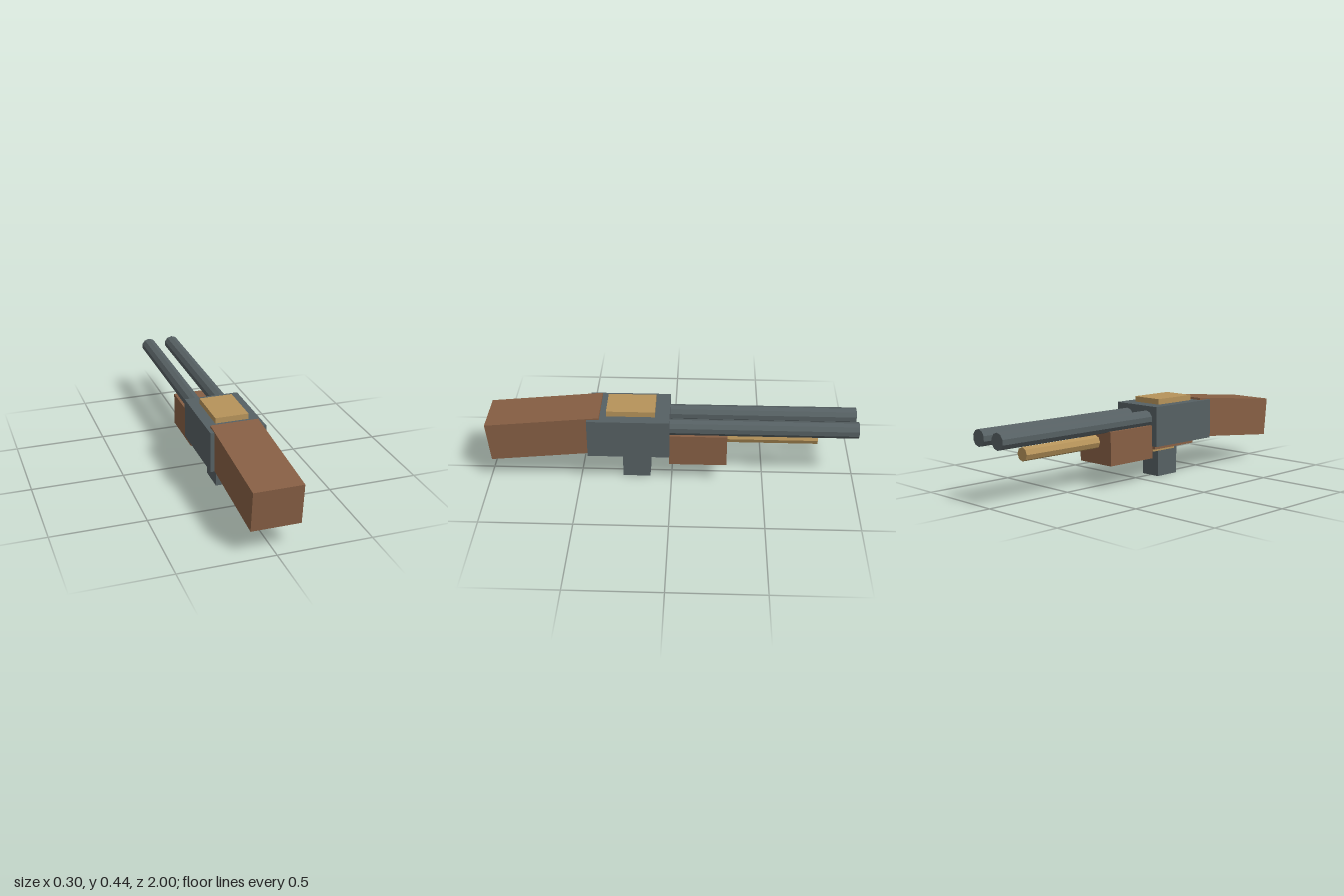
import * as THREE from 'three';

export function createModel() {
  const group = new THREE.Group();
  const paint = (name, hex) => {
    const m = new THREE.MeshStandardMaterial({ color: hex });
    m.name = name;
    return m;
  };
  const wood = paint('brown wood', 0x875f44);
  const steel = paint('grey steel', 0x566063);
  const brass = paint('brass', 0xb6935a);

  const add = (name, geometry, material) => {
    const mesh = new THREE.Mesh(geometry, material);
    mesh.name = name;
    group.add(mesh);
    return mesh;
  };
  // Box centred on x, given by its y and z ranges
  const block = (name, width, [y0, y1], [z0, z1], material) => {
    const mesh = add(name, new THREE.BoxGeometry(width, y1 - y0, z1 - z0), material);
    mesh.position.set(0, (y0 + y1) / 2, (z0 + z1) / 2);
    return mesh;
  };
  // Faceted rod lying along z
  const rod = (name, radius, sides, x, y, [z0, z1], material) => {
    const geometry = new THREE.CylinderGeometry(radius, radius, z1 - z0, sides).toNonIndexed();
    geometry.computeVertexNormals();
    geometry.rotateX(Math.PI / 2);
    const mesh = add(name, geometry, material);
    mesh.position.set(x, y, (z0 + z1) / 2);
  };

  // Body with its cover plate
  block('receiver', 0.298, [0.19, 0.408], [0.01, 0.45], steel);
  block('topPlate', 0.18, [0.39, 0.438], [0.088, 0.348], brass);

  // Stock, drooping toward the butt
  const stock = block('stock', 0.258, [0.172, 0.39], [0.373, 0.991], wood);
  stock.position.set(0, 0.2805, 0.6816);
  stock.rotation.x = 0.1;

  // Underside plates and grip
  block('lowerPlate', 0.24, [0.17, 0.2], [0.03, 0.335], wood);
  block('triggerPlate', 0.185, [0.153, 0.18], [0.043, 0.213], brass);
  block('grip', 0.116, [0, 0.18], [0.118, 0.268], steel);

  // Fore-end, twin barrels and the tube beneath them
  block('foreEnd', 0.234, [0.124, 0.305], [-0.3, 0.012], wood);
  for (const side of [-1, 1]) {
    rod(side > 0 ? 'leftBarrel' : 'rightBarrel', 0.044, 10, side * 0.073, 0.339, [-1, 0.02], steel);
  }
  rod('lowerTube', 0.0365, 8, 0, 0.2405, [-0.793, -0.28], brass);

  return group;
}
